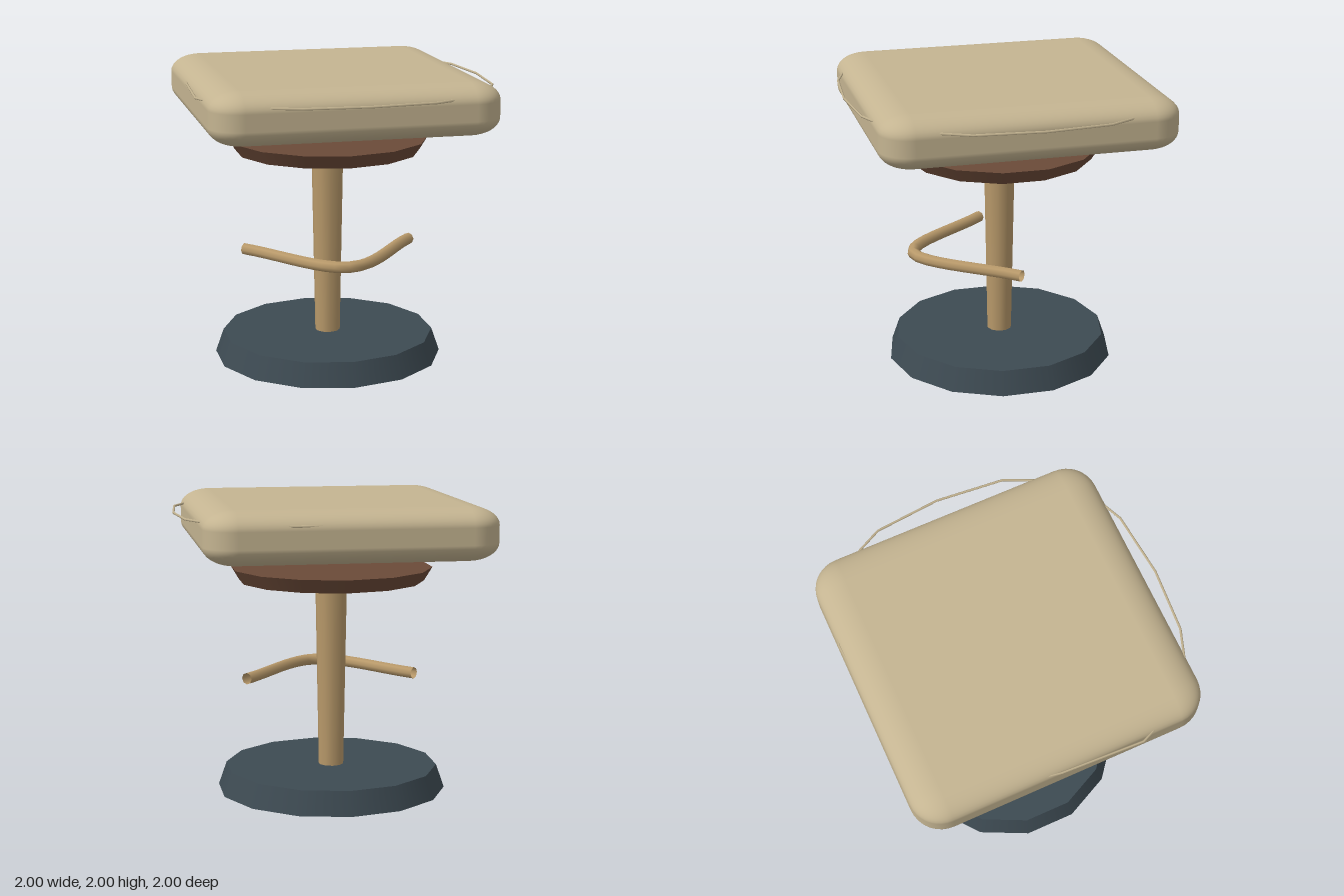
import * as THREE from 'three';
import { RoundedBoxGeometry } from 'three/addons/geometries/RoundedBoxGeometry.js';

const CX = -0.045, CZ = -0.043; // axis of the stool

function mat(color) {
  return new THREE.MeshStandardMaterial({ color });
}

function add(group, name, geometry, material, x, y, z) {
  const mesh = new THREE.Mesh(geometry, material);
  mesh.name = name;
  mesh.position.set(x, y, z);
  group.add(mesh);
  return mesh;
}

// Tapered disc or post standing between two heights on the axis
function taper(group, name, rTop, rBottom, y0, y1, sides, material) {
  const geometry = new THREE.CylinderGeometry(rTop, rBottom, y1 - y0, sides);
  return add(group, name, geometry, material, CX, (y0 + y1) / 2, CZ);
}

export function createModel() {
  const group = new THREE.Group();
  group.name = 'stool';
  const fabric = mat(0xc4b491);
  const brass = mat(0xb8996a);
  const wood = mat(0x6b4a38);
  const iron = mat(0x3d4a52);

  // Base, post and seat plate
  taper(group, 'base', 0.708, 0.762, 0.045, 0.2, 14, iron);
  taper(group, 'post', 0.106, 0.08, 0, 1.46, 10, brass);
  taper(group, 'seatPlate', 0.668, 0.613, 1.45, 1.54, 14, wood);

  // Cushion: rounded box flattened so its edges are soft ellipses
  const squash = 0.58;
  const cushion = new RoundedBoxGeometry(1.845, 0.34 / squash, 1.905, 5, 0.2);
  add(group, 'cushion', cushion, fabric, -0.0425, 1.83, -0.0475).scale.y = squash;

  // Piping: thin closed loop that bows out of the cushion sides
  const loop = [
    [0.99, -0.06], [0.95, 0.38], [0.76, 0.79], [0.4, 0.945], [-0.02, 0.985], [-0.43, 0.955],
    [-0.82, 0.82], [-0.99, 0.43], [-0.965, -0.1], [-0.9, -0.5], [-0.75, -0.8], [-0.4, -0.92],
    [0, -0.97], [0.33, -0.997], [0.74, -0.9], [0.95, -0.48],
  ].map(([x, z]) => new THREE.Vector3(x, 0, z));
  const pipingPath = new THREE.CatmullRomCurve3(loop, true, 'catmullrom');
  pipingPath.getUtoTmapping = (u) => u; // one straight piece per point
  add(group, 'piping', new THREE.TubeGeometry(pipingPath, loop.length, 0.008, 5, true), fabric, 0, 1.913, 0);

  // Footrest: bent bar passing in front of the post, open at both ends
  const footPath = new THREE.CatmullRomCurve3([
    new THREE.Vector3(-0.567, 0, 0),
    new THREE.Vector3(0, 0, 0.593),
    new THREE.Vector3(0.567, 0, 0),
  ]);
  const steel = brass.clone();
  steel.side = THREE.DoubleSide;
  add(group, 'footrest', new THREE.TubeGeometry(footPath, 20, 0.039, 8), steel, CX, 0.8, CZ);

  return group;
}
